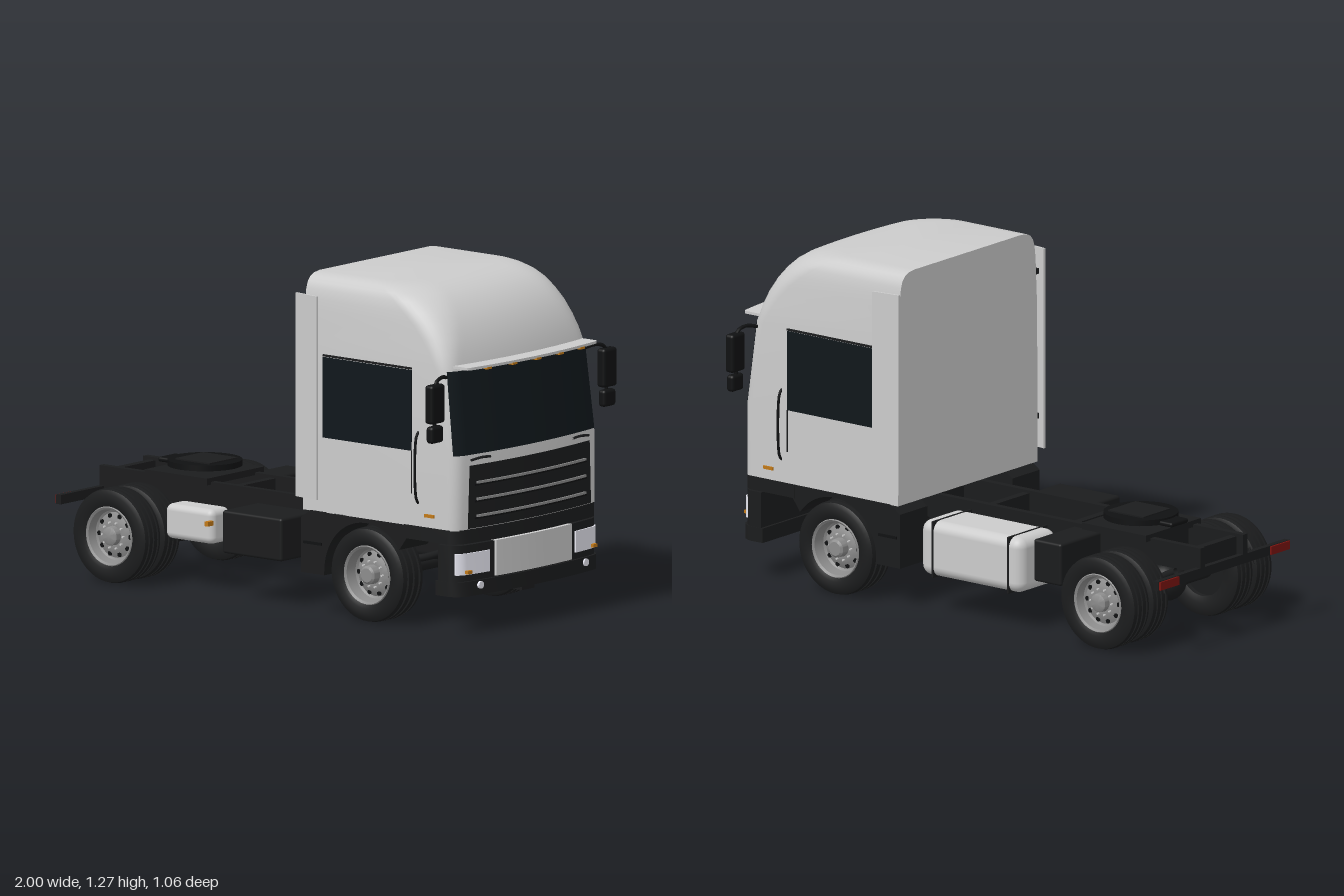
import * as THREE from 'three';
import { toCreasedNormals } from 'three/addons/utils/BufferGeometryUtils.js';
import { RoundedBoxGeometry } from 'three/addons/geometries/RoundedBoxGeometry.js';

const mat = (color) => new THREE.MeshStandardMaterial({ color, side: THREE.DoubleSide });
const BODY = mat(0xcccccc), DARK = mat(0x1b1c1d), BLACK = mat(0x101112), GLASS = mat(0x10171b),
  LAMP = mat(0xe6e6f0), AMBER = mat(0xc07818), RED = mat(0x7a1410), STEEL = mat(0x8c8c8c);

// Cab outline by height: [y, front x, half width, front corner radius]
const LEVELS = [[0.39, 0.975, 0.41, 0.04], [0.66, 0.975, 0.41, 0.04], [0.98, 0.935, 0.407, 0.05],
  [1.04, 0.918, 0.405, 0.07], [1.09, 0.9, 0.402, 0.09], [1.14, 0.872, 0.4, 0.11], [1.18, 0.842, 0.397, 0.13],
  [1.215, 0.804, 0.392, 0.14], [1.24, 0.765, 0.383, 0.15], [1.257, 0.72, 0.368, 0.15],
  [1.266, 0.68, 0.35, 0.14], [1.271, 0.62, 0.315, 0.12]];
const CAB_BACK = 0.215;

// Bowed front with rounded corners
function frontX(z, xf, w, r) {
  const d = Math.min(r, Math.max(0, Math.abs(z) - (w - r)));
  return xf - 0.2 * z * z - (r - Math.sqrt(r * r - d * d));
}

function cabLevel(y) {
  let i = 0;
  while (i < LEVELS.length - 2 && y > LEVELS[i + 1][0]) i++;
  const a = LEVELS[i], b = LEVELS[i + 1], t = (y - a[0]) / (b[0] - a[0]);
  return a.map((v, k) => v + (b[k] - v) * t);
}

// Z samples packed towards both ends
const zSamples = (z0, z1, n) => Array.from({ length: n + 1 }, (_, i) =>
  (z0 + z1) / 2 + (z1 - z0) / 2 * Math.sin((i / n - 0.5) * Math.PI));

function cabGeometry() {
  const pos = [], idx = [], n = 36, m = n + 3;
  for (const [y, xf, w, r] of LEVELS) {
    pos.push(CAB_BACK, y, -w);
    for (const z of zSamples(-w, w, n)) pos.push(frontX(z, xf, w, r), y, z);
    pos.push(CAB_BACK, y, w);
  }
  for (let l = 0; l < LEVELS.length - 1; l++) for (let i = 0; i < m; i++) {
    const a = l * m + i, b = l * m + (i + 1) % m;
    idx.push(a, a + m, b, b, a + m, b + m);
  }
  const top = (LEVELS.length - 1) * m, c = pos.length / 3;
  pos.push(0.45, 1.274, 0, 0.5, LEVELS[0][0], 0);
  for (let i = 0; i < m; i++) {
    const j = (i + 1) % m;
    idx.push(top + i, c, top + j, i, j, c + 1);
  }
  const g = new THREE.BufferGeometry();
  g.setAttribute('position', new THREE.Float32BufferAttribute(pos, 3));
  g.setIndex(idx);
  return toCreasedNormals(g, 0.7);
}

// Panel hugging the cab front
function frontPatch(y0, y1, half0, half1, lift) {
  const g = new THREE.PlaneGeometry(1, 1, 30, 6), p = g.attributes.position;
  for (let i = 0; i < p.count; i++) {
    const v = p.getY(i) + 0.5, y = y0 + (y1 - y0) * v;
    const z = -2 * p.getX(i) * (half0 + (half1 - half0) * v), [, xf, w, r] = cabLevel(y);
    p.setXYZ(i, frontX(z, xf, w, r) + lift, y, z);
  }
  g.computeVertexNormals();
  return g;
}

// Slab with the bowed front outline in plan
function slab(y0, y1, xBack, xFront, z0, z1, r = 0.05, w = 0.412) {
  const s = new THREE.Shape();
  s.moveTo(xBack, -z0);
  for (const z of zSamples(z0, z1, 24)) s.lineTo(frontX(z, xFront, w, r), -z);
  s.lineTo(xBack, -z1);
  const g = new THREE.ExtrudeGeometry(s, { depth: y1 - y0, bevelEnabled: false });
  g.rotateX(-Math.PI / 2).translate(0, y0, 0);
  return toCreasedNormals(g, 0.6);
}

function add(parent, name, geo, material) {
  const m = new THREE.Mesh(geo, material);
  m.name = name;
  parent.add(m);
  return m;
}
// Box from min and max corners, rounded when r is given
function box(parent, name, [x0, x1], [y0, y1], [z0, z1], material, r = 0) {
  const s = [Math.abs(x1 - x0), Math.abs(y1 - y0), Math.abs(z1 - z0)];
  const m = add(parent, name, r ? new RoundedBoxGeometry(...s, 4, r) : new THREE.BoxGeometry(...s), material);
  m.position.set((x0 + x1) / 2, (y0 + y1) / 2, (z0 + z1) / 2);
  return m;
}
function rod(parent, name, pts, r, material) {
  const curve = new THREE.CatmullRomCurve3(pts.map((p) => new THREE.Vector3(...p)));
  return add(parent, name, new THREE.TubeGeometry(curve, 20, r, 8), material);
}
const lathe = (pts, seg = 48) =>
  toCreasedNormals(new THREE.LatheGeometry(pts.map((p) => new THREE.Vector2(...p)), seg), 0.6);

// Wheel with its axis along y, outer face at +y
function wheel(name, width, R = 0.176) {
  const g = new THREE.Group(), h = width / 2, tyre = [[0.1, -h * 0.8], [0.125, -h], [R - 0.02, -h], [R - 0.004, -h * 0.85]];
  for (const k of [-0.5, 0, 0.5]) {
    tyre.push([R, h * (k - 0.08)], [R - 0.008, h * (k - 0.07)], [R - 0.008, h * (k + 0.07)], [R, h * (k + 0.08)]);
  }
  tyre.push([R - 0.004, h * 0.85], [R - 0.02, h], [0.125, h], [0.108, h * 0.85]);
  add(g, 'tyre', lathe(tyre), DARK);
  add(g, 'rim', lathe([[0.112, h * 0.86], [0.108, h * 0.95], [0.1, h * 0.85], [0.093, h * 0.2], [0.085, h * 0.1],
    [0.06, h * 0.35], [0.042, h * 0.4], [0.036, h * 0.4], [0.034, h * 0.85], [0.026, h * 0.95], [0, h * 0.95]]), STEEL);
  add(g, 'innerDisc', lathe([[0, -h * 0.4], [0.1, -h * 0.4], [0.104, -h * 0.8]]), DARK);
  for (let i = 0; i < 10; i++) {
    const a = i / 10 * Math.PI * 2, nut = add(g, 'wheelNut', new THREE.CylinderGeometry(0.004, 0.004, 0.014, 6), BODY);
    nut.position.set(0.049 * Math.cos(a), h * 0.42, 0.049 * Math.sin(a));
    const vent = add(g, 'rimVent', new THREE.CylinderGeometry(0.009, 0.009, 0.004, 12), BLACK);
    vent.position.set(0.074 * Math.cos(a), h * 0.24, 0.074 * Math.sin(a));
  }
  g.name = name;
  return g;
}

export function createModel() {
  const truck = new THREE.Group();
  truck.name = 'tractorTruck';

  // Cab and its front
  add(truck, 'cab', cabGeometry(), BODY);
  add(truck, 'windscreen', frontPatch(0.67, 0.98, 0.403, 0.395, 0.004), GLASS);
  add(truck, 'grille', frontPatch(0.395, 0.63, 0.352, 0.343, 0.005), DARK);
  for (const y of [0.44, 0.503, 0.565]) {
    add(truck, 'grilleSlat', slab(y - 0.005, y + 0.004, 0.95, 0.987, -0.31, 0.31), STEEL);
    add(truck, 'grilleGap', slab(y - 0.012, y - 0.005, 0.95, 0.984, -0.32, 0.32), BLACK);
  }
  add(truck, 'sunVisor', slab(0.99, 1.0, 0.88, 1.0, -0.37, 0.37, 0.02, 0.375), BODY);
  for (const z of [-0.265, -0.133, 0, 0.133, 0.265]) {
    const x = 1.002 - 0.2 * z * z;
    box(truck, 'roofMarker', [x - 0.02, x], [0.984, 0.992], [z - 0.013, z + 0.013], AMBER);
  }

  // Bumper
  add(truck, 'cabSkirt', slab(0.34, 0.392, 0.7, 0.978, -0.411, 0.411), DARK);
  add(truck, 'bumper', slab(0.2, 0.335, 0.86, 0.978, -0.41, 0.41), DARK);
  add(truck, 'bumperBar', slab(0.145, 0.2, 0.85, 0.988, -0.412, 0.412), DARK);
  add(truck, 'bumperPanel', slab(0.205, 0.338, 0.9, 0.988, -0.215, 0.215), BODY);
  box(truck, 'towHook', [0.88, 0.95], [0.122, 0.15], [-0.035, 0.035], DARK);

  // Chassis frame
  for (const x of [-0.945, -0.72, -0.37, 0.03, 0.5]) box(truck, 'crossMember', [x - 0.015, x + 0.015], [0.295, 0.365], [-0.125, 0.125], DARK);
  box(truck, 'rearBar', [-0.99, -0.968], [0.265, 0.3], [-0.385, 0.385], DARK);
  box(truck, 'engine', [0.3, 0.88], [0.2, 0.39], [-0.105, 0.105], DARK, 0.03);
  rod(truck, 'driveShaft', [[0.32, 0.27, 0], [-0.2, 0.23, 0], [-0.68, 0.19, 0]], 0.018, DARK);
  const diff = add(truck, 'differential', new THREE.SphereGeometry(0.075, 24, 16), DARK);
  diff.position.set(-0.72, 0.18, 0);
  for (const [x, r] of [[-0.72, 0.032], [0.515, 0.024]]) {
    const axle = add(truck, 'axle', new THREE.CylinderGeometry(r, r, 0.66, 16), DARK);
    axle.rotation.x = Math.PI / 2;
    axle.position.set(x, 0.176, 0);
  }

  // Trailer coupling
  box(truck, 'couplingBase', [-0.755, -0.455], [0.365, 0.39], [-0.165, 0.16], DARK);
  const disc = add(truck, 'couplingPlate', new THREE.CylinderGeometry(0.138, 0.138, 0.022, 40), BLACK);
  disc.position.set(-0.6, 0.414, 0);
  box(truck, 'couplingRamp', [-0.785, -0.7], [0.4, 0.418], [-0.05, 0.05], BLACK, 0.008);
  box(truck, 'couplingPad', [-0.675, -0.51], [0.42, 0.43], [-0.08, 0.08], DARK);

  // Fuel tank and battery box on one side
  box(truck, 'fuelTank', [-0.355, 0.125], [0.145, 0.355], [-0.4, -0.175], BODY, 0.04);
  for (const x of [-0.295, 0.06]) box(truck, 'tankStrap', [x - 0.004, x + 0.004], [0.142, 0.358], [-0.403, -0.172], DARK, 0.003);
  box(truck, 'batteryBox', [-0.52, -0.39], [0.2, 0.36], [-0.37, -0.13], DARK, 0.01);
  // Air tank and tool box on the other
  box(truck, 'airTank', [-0.535, -0.305], [0.18, 0.31], [0.2, 0.31], BODY, 0.025);
  box(truck, 'toolBox', [-0.195, 0.09], [0.175, 0.335], [0.18, 0.385], DARK, 0.01);
  box(truck, 'sideMarker', [-0.315, -0.298], [0.255, 0.272], [0.31, 0.342], AMBER);
  rod(truck, 'exhaustPipe', [[-0.62, 0.24, 0.18], [-0.58, 0.26, 0.23], [-0.51, 0.26, 0.23]], 0.025, DARK);

  // Front wheel arch profile
  const arch = new THREE.Shape();
  arch.moveTo(0.205, 0.155);
  arch.lineTo(0.315, 0.155);
  arch.lineTo(0.318, 0.2);
  arch.absarc(0.515, 0.176, 0.198, Math.PI * 0.96, Math.PI * 0.2, true);
  arch.lineTo(0.71, 0.34);
  arch.lineTo(0.71, 0.392);
  arch.lineTo(0.25, 0.392);
  arch.lineTo(0.205, 0.36);
  const archGeo = toCreasedNormals(new THREE.ExtrudeGeometry(arch, { depth: 0.16, bevelEnabled: false }), 0.5);

  for (const s of [-1, 1]) {
    const span = (a, b) => [s * a, s * b];
    // Wheels: single at the front, twin at the rear
    for (const [name, x, z, w] of [['frontWheel', 0.515, 0.345, 0.13], ['rearOuterWheel', -0.72, 0.36, 0.1], ['rearInnerWheel', -0.72, 0.248, 0.1]]) {
      const g = wheel(name, w);
      g.rotation.x = s * Math.PI / 2;
      g.position.set(x, 0.178, s * z);
      truck.add(g);
    }
    // Rails, springs and rear lights
    box(truck, 'frameRail', [-0.99, 0.9], [0.28, 0.375], span(0.112, 0.138), DARK);
    for (const [x, l] of [[0.515, 0.25], [-0.72, 0.18]]) {
      rod(truck, 'leafSpring', [[x - l, 0.28, s * 0.17], [x, 0.21, s * 0.17], [x + l, 0.28, s * 0.17]], 0.014, DARK);
    }
    box(truck, 'rearLight', [-0.998, -0.985], [0.267, 0.298], span(0.27, 0.38), RED);
    rod(truck, 'rearBracket', [[-0.9, 0.28, s * 0.26], [-0.92, 0.22, s * 0.26]], 0.005, DARK);
    // Wheel arch
    add(truck, 'wheelArch', archGeo, DARK).position.z = s > 0 ? 0.25 : -0.41;
    box(truck, 'stepTread', [0.22, 0.305], [0.265, 0.275], span(0.408, 0.416), BLACK);
    // Cab side details
    box(truck, 'sideWindow', [0.31, 0.735], [0.67, 0.97], span(0.4, 0.413), GLASS);
    box(truck, 'windowTrim', [0.31, 0.735], [0.973, 0.98], span(0.4, 0.414), DARK);
    box(truck, 'doorSeam', [0.733, 0.737], [0.51, 0.67], span(0.4, 0.4115), DARK);
    rod(truck, 'grabHandle', [[0.765, 0.475, s * 0.405], [0.765, 0.495, s * 0.42], [0.765, 0.725, s * 0.42], [0.765, 0.745, s * 0.405]], 0.005, BLACK);
    box(truck, 'indicator', [0.8, 0.845], [0.43, 0.442], span(0.405, 0.416), AMBER);
    const fairing = box(truck, 'sideFairing', [0.195, 0.31], [0.44, 1.2], span(0.43, 0.438), BODY);
    fairing.rotation.y = -s * 0.13;
    for (const y of [0.55, 1.1]) box(truck, 'fairingBracket', [0.22, 0.235], [y, y + 0.02], span(0.39, 0.432), DARK);
    // Headlamps
    const [z0, z1] = s > 0 ? [0.245, 0.398] : [-0.398, -0.245];
    add(truck, 'headlamp', slab(0.225, 0.305, 0.9, 0.984, z0, z1), LAMP);
    box(truck, 'turnSignal', [0.95, 0.972], [0.23, 0.242], span(0.345, 0.37), AMBER);
    const fog = add(truck, 'fogLamp', new THREE.CylinderGeometry(0.014, 0.014, 0.012, 20), LAMP);
    fog.rotation.z = Math.PI / 2;
    fog.position.set(0.972, 0.182, s * 0.3);
    // Wiper
    rod(truck, 'wiper', [[0.965, 0.652, s * 0.235], [0.964, 0.655, s * 0.28], [0.958, 0.65, s * 0.335]], 0.005, DARK);
    // Mirrors
    rod(truck, 'mirrorArm', [[0.885, 0.958, s * 0.39], [0.905, 0.968, s * 0.44], [0.912, 0.955, s * 0.48], [0.912, 0.92, s * 0.49]], 0.007, BLACK);
    box(truck, 'mainMirror', [0.895, 0.935], [0.805, 0.95], span(0.453, 0.53), BLACK, 0.012);
    box(truck, 'wideMirror', [0.898, 0.932], [0.732, 0.795], span(0.458, 0.526), BLACK, 0.012);
    rod(truck, 'mirrorLink', [[0.912, 0.81, s * 0.49], [0.912, 0.79, s * 0.49]], 0.007, BLACK);
  }
  return truck;
}
